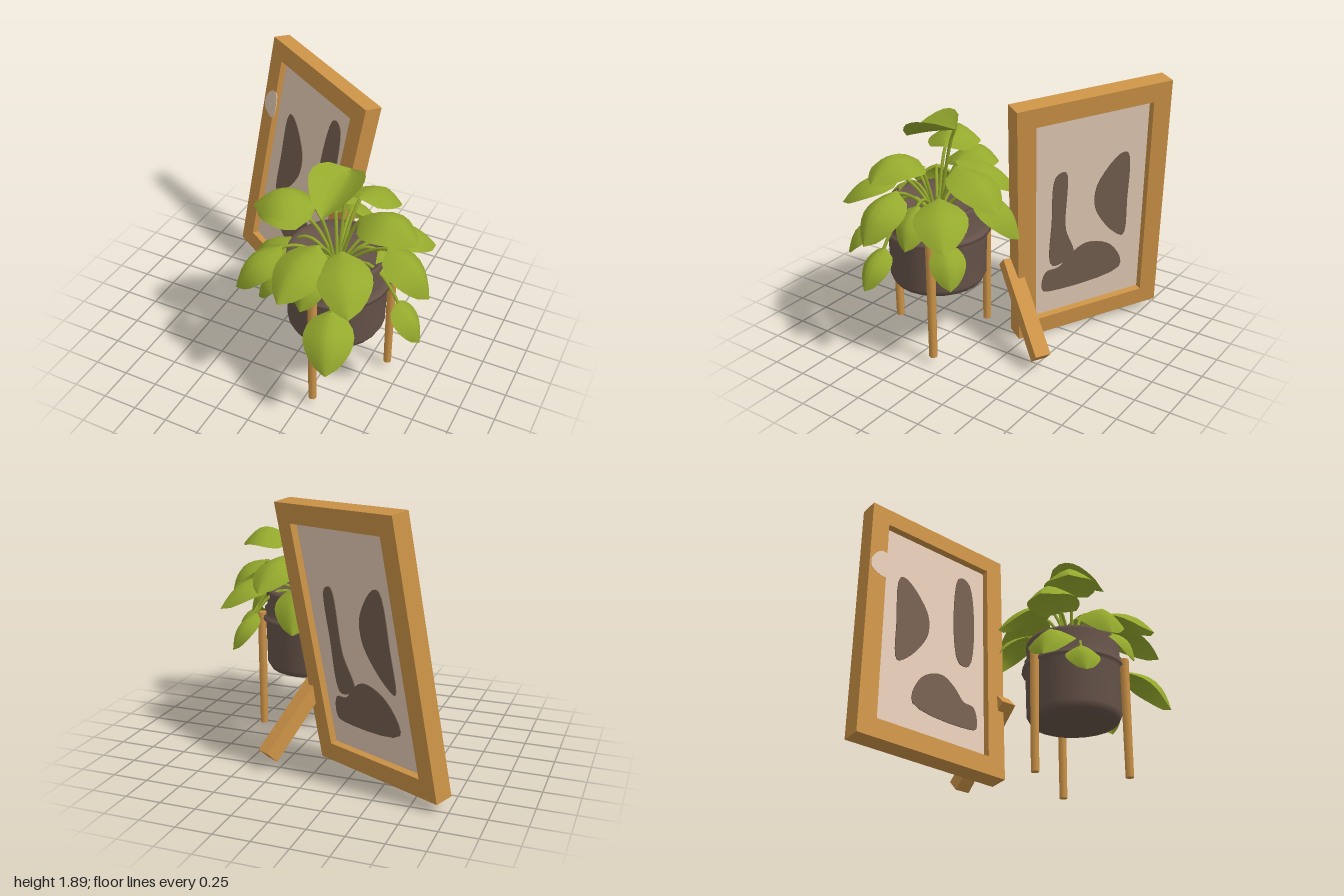
import * as THREE from 'three';

const mat = (name, color, side = THREE.FrontSide) => {
  const m = new THREE.MeshStandardMaterial({ color, side });
  m.name = name;
  return m;
};
const vec = (x, y, z) => new THREE.Vector3(x, y, z);

export function createModel() {
  const wood = mat('wood', 0xcc9347);
  const canvas = mat('canvas', 0xe5cbb6);
  const paint = mat('brown paint', 0x745f50);
  const clay = mat('pot clay', 0x67544a, THREE.DoubleSide);
  const green = mat('leaf green', 0x94a92d, THREE.DoubleSide);

  const model = new THREE.Group();
  const add = (parent, name, geo, material) => {
    const m = new THREE.Mesh(geo, material);
    m.name = name;
    parent.add(m);
    return m;
  };

  // ---- Leaning picture frame, built in its own tilted axes ----
  const W = 1.145, H = 1.834, D = 0.13, BAR = 0.135, LEAN = 0.03;
  const frame = new THREE.Group();
  frame.name = 'pictureFrame';
  const u = vec(0.861, -0.058, 0.506).normalize();
  const n = u.clone().cross(vec(0.136, 0.987, -0.087)).normalize();
  const v = n.clone().cross(u);
  frame.quaternion.setFromRotationMatrix(new THREE.Matrix4().makeBasis(u, v, n));
  frame.position.set(-1, 0.08, -0.685)
    .addScaledVector(u, W / 2).addScaledVector(v, H / 2).addScaledVector(n, -D / 2);
  model.add(frame);

  // Flat plate cut from a polygon
  const plate = (name, pts, depth, z, material) => {
    const shape = new THREE.Shape(pts.map(([x, y]) => new THREE.Vector2(x, y)));
    const geo = new THREE.ExtrudeGeometry(shape, { depth, bevelEnabled: false });
    return add(frame, name, geo.translate(0, 0, z), material);
  };

  // Four mitred bars around a slightly skewed rectangle
  const corner = (i, inset) => {
    const y = (i % 4 < 2 ? -1 : 1) * (H / 2 - inset);
    const x = (i % 4 === 1 || i % 4 === 2 ? 1 : -1) * (W / 2 - inset);
    return [x + LEAN * (y + H / 2), y];
  };
  ['bottomBar', 'rightBar', 'topBar', 'leftBar'].forEach((name, i) => {
    plate(name, [corner(i, 0), corner(i + 1, 0), corner(i + 1, BAR), corner(i, BAR)], D, -D / 2, wood);
  });
  plate('canvasPanel', [0, 1, 2, 3].map((i) => corner(i, BAR - 0.01)), 0.03, -0.015, canvas);

  // Rounded patches on both sides of the canvas
  const FRONT = 0.0145, BACK = -0.0205;
  const patch = (name, pts, z, material = paint) => {
    const curve = new THREE.CatmullRomCurve3(pts.map(([x, y]) => vec(x, y, 0)), true);
    return plate(name, curve.getPoints(40).slice(0, -1).map((p) => [p.x, p.y]), 0.006, z, material);
  };
  const tall = [[-0.25, 0.41], [-0.19, 0.413], [-0.026, 0.211], [-0.013, 0.05], [-0.058, -0.061],
    [-0.176, -0.215], [-0.265, -0.27], [-0.275, 0.034]];
  const mound = [[-0.14, -0.55], [-0.066, -0.33], [0.097, -0.255], [0.2, -0.315],
    [0.277, -0.405], [0.36, -0.42], [0.38, -0.575], [0.32, -0.6]];
  patch('frontTallPatch', tall, FRONT);
  patch('backTallPatch', tall, BACK);
  patch('frontMoundPatch', mound, FRONT);
  const backMound = patch('backMoundPatch', mound, BACK);
  backMound.position.x = -0.089;
  backMound.scale.x = 1.21;
  patch('frontStripPatch', [[0.25, 0.62], [0.3, 0.65], [0.36, 0.6], [0.33, -0.1], [0.24, -0.1]], FRONT);
  patch('backStripPatch', [[0.23, 0.37], [0.3, 0.35], [0.32, 0], [0.3, -0.38], [0.14, -0.32], [0.21, -0.08]], BACK);
  patch('framePaleSpot', [[-0.385, 0.51], [-0.44, 0.52], [-0.515, 0.43], [-0.51, 0.35], [-0.4, 0.31]],
    D / 2 - 0.004, canvas);

  // Rear prop, turned to line up with the frame's side
  const propTop = vec(0.06, 0.61, -0.13), propFoot = vec(0.31, 0.1, -0.565);
  const py = propTop.clone().sub(propFoot).normalize();
  const pz = u.clone().cross(py).normalize();
  const prop = add(model, 'rearProp', new THREE.BoxGeometry(0.11, propTop.distanceTo(propFoot), 0.105), wood);
  prop.position.lerpVectors(propTop, propFoot, 0.5);
  prop.quaternion.setFromRotationMatrix(new THREE.Matrix4().makeBasis(py.clone().cross(pz), py, pz));

  // ---- Planter: everything is placed around the pot's axis ----
  const planter = new THREE.Group();
  planter.name = 'planter';
  planter.position.set(0.32, 0, 0.285);
  model.add(planter);
  const polar = (angle, r, y) => vec(Math.sin(angle) * r, y, Math.cos(angle) * r);

  // Pot with a rolled rim and soil level
  const profile = [[0, 0.465], [0.25, 0.467], [0.31, 0.485], [0.335, 0.53], [0.342, 0.85],
    [0.37, 0.862], [0.365, 0.885], [0.335, 0.9], [0.352, 0.93], [0.328, 0.95], [0.338, 1.06],
    [0.325, 1.085], [0.3, 1.08], [0.29, 1], [0, 1]].map(([r, y]) => new THREE.Vector2(r, y));
  add(planter, 'pot', new THREE.LatheGeometry(profile, 24), clay);

  // Three legs
  for (let i = 0; i < 3; i++) {
    const leg = add(planter, 'potLeg', new THREE.CylinderGeometry(0.033, 0.029, 0.86, 8), wood);
    leg.position.copy(polar((i * 2 * Math.PI) / 3, 0.372, 0.48));
  }

  // Leaf blade: a plane bent along base to tip, domed or folded across
  const leaf = (base, tip, half, arch, lift) => {
    const geo = new THREE.PlaneGeometry(2, 1, 6, 8);
    const dir = tip.clone().sub(base);
    const side = vec(-dir.z, 0, dir.x).normalize();
    const up = side.clone().cross(dir).normalize();
    const pos = geo.attributes.position;
    for (let i = 0; i < pos.count; i++) {
      const e = pos.getX(i), s = pos.getY(i) + 0.5;
      const bulge = Math.max(0, Math.sin(Math.PI * Math.pow(s, 0.8)));
      const w = 0.01 + 0.99 * Math.pow(bulge, 0.7);
      const p = base.clone().addScaledVector(dir, s).addScaledVector(side, e * w * half)
        .addScaledVector(up, arch * Math.sin(Math.PI * s) + lift * Math.pow(Math.abs(e), 1.4) * w);
      pos.setXYZ(i, p.x, p.y, p.z);
    }
    geo.computeVertexNormals();
    add(planter, 'leaf', geo, green);

    // Stem rises from the soil and bends over to the leaf
    const root = vec(base.x * 0.15, 0.98, base.z * 0.15);
    const bend = root.clone().lerp(base, 0.55).setY(Math.max(1.2, base.y - 0.08));
    const curve = new THREE.QuadraticBezierCurve3(root, bend, base.clone().lerp(tip, 0.05));
    add(planter, 'stem', new THREE.TubeGeometry(curve, 8, 0.012, 5), green);
  };

  // Folded crown leaf, then rings of leaves; tips are [degrees, radius, height]
  leaf(vec(0, 1.6, -0.18), vec(0, 1.475, 0.245), 0.18, 0.01, 0.11);
  const rings = [
    { run: 0.42, rise: 0.05, half: 0.185, arch: 0.12, lift: -0.11,
      tips: [[83, 0.58, 1.35], [-76, 0.56, 1.35], [-94, 0.62, 1.2]] },
    { run: 0.42, rise: 0.21, half: 0.18, arch: 0.08, lift: -0.08,
      tips: [[-11, 0.63, 1.03], [31, 0.65, 1.03], [166, 0.63, 1.16], [-147, 0.55, 1.14], [131, 0.69, 0.98]] },
    { run: 0.31, rise: 0.29, half: 0.165, arch: 0.09, lift: -0.1,
      tips: [[84, 0.68, 0.96], [-52, 0.68, 0.87], [-92, 0.64, 0.74], [-171, 0.62, 0.89], [19, 0.68, 0.58]] },
    { run: 0.19, rise: 0.26, half: 0.12, arch: 0.06, lift: -0.07,
      tips: [[-6, 0.46, 0.87], [100, 0.46, 0.87], [80, 0.66, 0.61], [-65, 0.53, 0.66], [135, 0.62, 0.68]] },
  ];
  for (const { run, rise, half, arch, lift, tips } of rings) {
    for (const [deg, r, y] of tips) {
      const angle = THREE.MathUtils.degToRad(deg);
      leaf(polar(angle, r - run, y + rise), polar(angle, r, y), half, arch, lift);
    }
  }
  return model;
}
